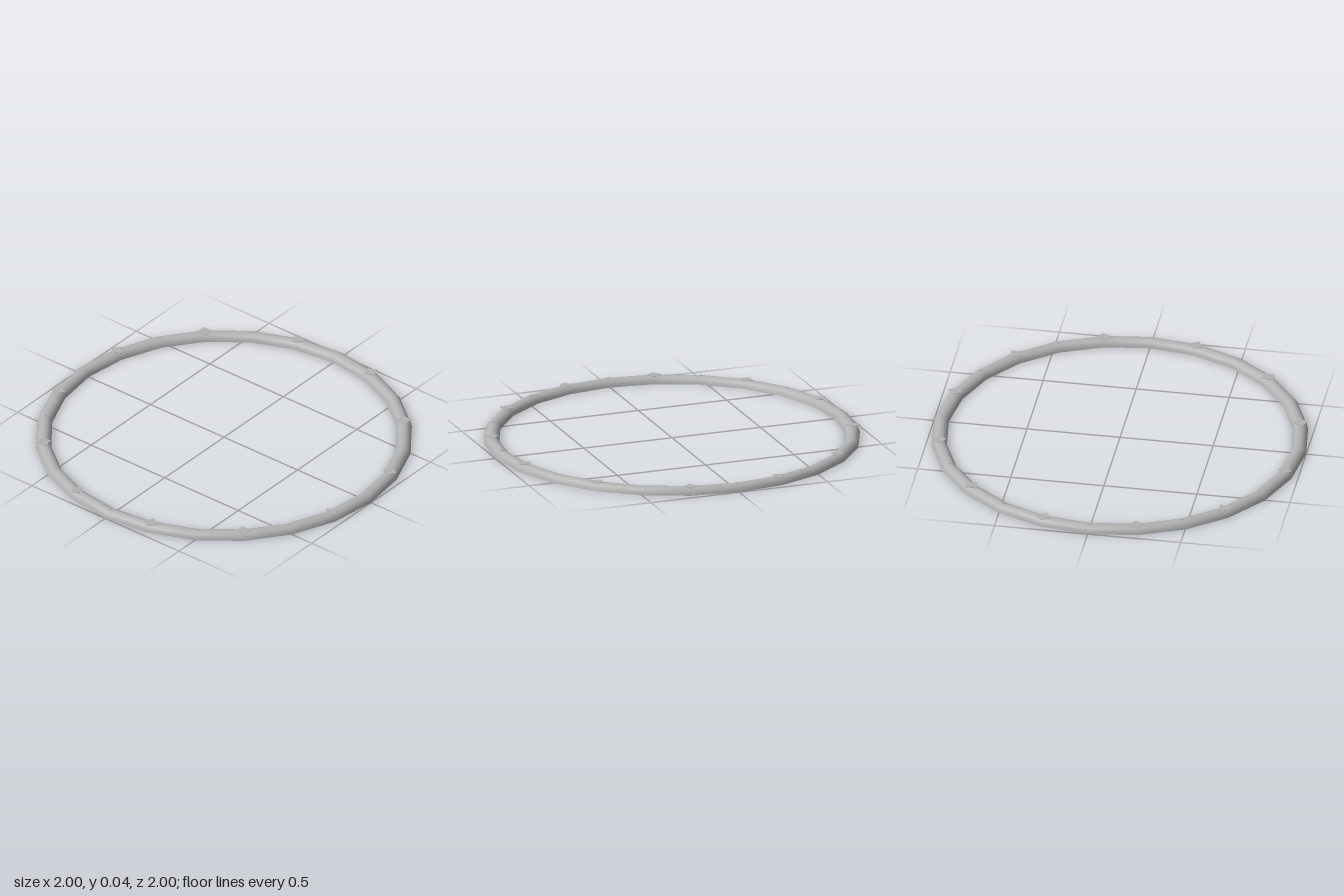
import * as THREE from 'three';

const RING_RADIUS = 0.96;
const TUBE_RADIUS = 0.04;

export function createModel() {
  const model = new THREE.Group();
  model.name = 'ring';
  const grey = new THREE.MeshStandardMaterial({ color: 0xb2b2b2, side: THREE.DoubleSide });
  grey.name = 'grey';

  // Half-round trim, open underneath, swept around 24 sides
  const profile = [];
  for (let i = 0; i <= 8; i++) {
    const a = (i / 8) * Math.PI;
    profile.push(new THREE.Vector2(RING_RADIUS + TUBE_RADIUS * Math.cos(a), TUBE_RADIUS * Math.sin(a)));
  }
  const trim = new THREE.Mesh(new THREE.LatheGeometry(profile, 24), grey);
  trim.name = 'halfRoundTrim';
  model.add(trim);

  // Thin plates on the crest: diamonds at every other joint, tiny studs between
  const diamond = new THREE.CylinderGeometry(0.039, 0.039, 0.002, 4);
  const stud = new THREE.CylinderGeometry(0.008, 0.008, 0.002, 4);
  for (let i = 0; i < 24; i++) {
    const a = (i / 24) * Math.PI * 2;
    const isJoint = i % 2 === 1;
    const plate = new THREE.Mesh(isJoint ? diamond : stud, grey);
    plate.name = isJoint ? 'jointPlate' : 'stud';
    plate.position.set(RING_RADIUS * Math.sin(a), 0.041, RING_RADIUS * Math.cos(a));
    plate.rotation.y = a;
    model.add(plate);
  }
  return model;
}
